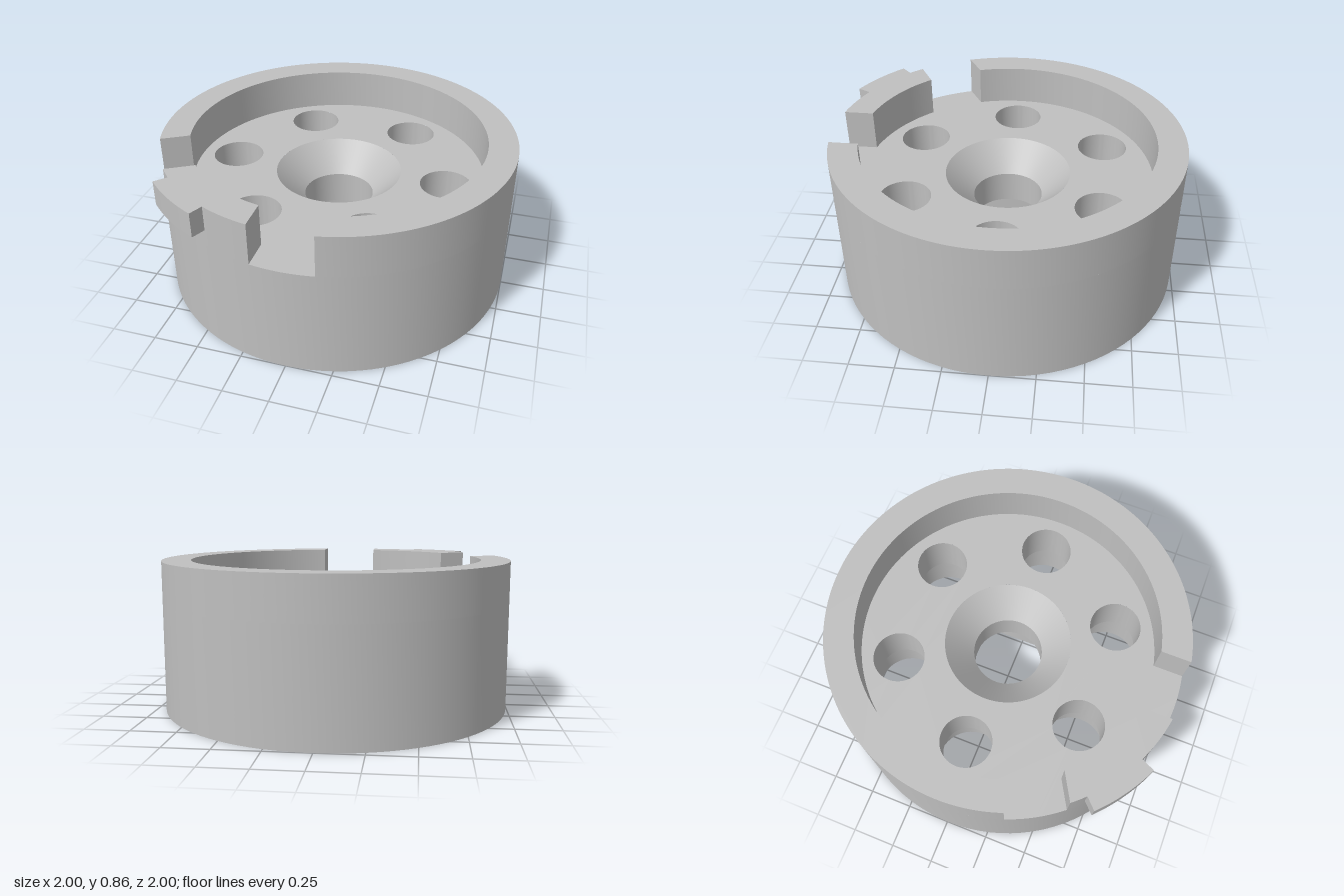
import * as THREE from 'three';
import { toCreasedNormals } from 'three/addons/utils/BufferGeometryUtils.js';

const FLOOR = 0.62, TOP = 0.855, TAB_BASE = 0.715, POCKET = 0.27;
const R = 1, RIM_IN = 0.835, RING = 0.625, SLOT = 0.168;
const SEG = 96;
const rad = THREE.MathUtils.degToRad;

export function createModel() {
  const group = new THREE.Group();
  const grey = new THREE.MeshStandardMaterial({ color: 0xbfbfbf });
  grey.name = 'grey';

  const add = (name, geo, y = 0) => {
    const mesh = new THREE.Mesh(toCreasedNormals(geo, 0.5), grey);
    mesh.name = name;
    mesh.position.y = y;
    group.add(mesh);
    return mesh;
  };
  const circle = (Type, x, y, r) => new Type().absarc(x, y, r, 0, Math.PI * 2, false);
  const lathe = (pts, seg = SEG) =>
    new THREE.LatheGeometry(pts.map(p => new THREE.Vector2(...p)), seg);
  const flat = (shape, up) =>
    new THREE.ShapeGeometry(shape, SEG).rotateX(up ? -Math.PI / 2 : Math.PI / 2);
  const extrude = (shape, depth) =>
    new THREE.ExtrudeGeometry(shape, { depth, bevelEnabled: false, curveSegments: SEG })
      .rotateX(-Math.PI / 2);

  // Disc pierced by the six ports and a central opening
  const ports = Array.from({ length: 6 }, (_, i) => rad(60 * i))
    .map(a => [RING * Math.cos(a), RING * Math.sin(a)]);
  const piercedDisc = (portR, centreR) => {
    const s = circle(THREE.Shape, 0, 0, R);
    s.holes.push(circle(THREE.Path, 0, 0, centreR));
    ports.forEach(([x, y]) => s.holes.push(circle(THREE.Path, x, y, portR)));
    return s;
  };

  // Body
  add('bodyWall', lathe([[R, 0], [R, FLOOR]]));
  add('bodyFloor', flat(piercedDisc(0.145, 0.36), true), FLOOR);
  add('bodyUnderside', flat(piercedDisc(0.24, 0.36), false));

  // Stepped ports, chamfered underneath
  const portGeo = lathe([[0.145, FLOOR], [0.145, 0.35], [0.2, 0.35], [0.2, 0.04], [0.24, 0]], SEG);
  ports.forEach(([x, z]) => add('port', portGeo).position.set(x, 0, z));

  // Countersunk centre bore
  add('centreBore', lathe([[0.36, FLOOR], [0.2, 0.46], [0.2, POCKET]]));

  // Two-flat pocket underneath
  const a = Math.acos(0.265 / 0.325);
  const pocketOutline = Type => new Type()
    .absarc(0, 0, 0.325, a, Math.PI - a, false)
    .absarc(0, 0, 0.325, Math.PI + a, 2 * Math.PI - a, false)
    .closePath();
  const collar = circle(THREE.Shape, 0, 0, 0.36);
  collar.holes.push(pocketOutline(THREE.Path));
  add('pocketWall', extrude(collar, POCKET));
  const ceiling = pocketOutline(THREE.Shape);
  ceiling.holes.push(circle(THREE.Path, 0, 0, 0.2));
  add('pocketCeiling', flat(ceiling, false), POCKET);

  // Ring sector; angles run from the front towards +x, trimmed by half a slot at each end
  const sector = (from, to, r0, r1, half = 0) => {
    const t0 = rad(from - 90), t1 = rad(to - 90);
    const o0 = Math.asin(half / r0), o1 = Math.asin(half / r1);
    return new THREE.Shape()
      .absarc(0, 0, r1, t0 + o1, t1 - o1, false)
      .absarc(0, 0, r0, t1 - o0, t0 + o0, true)
      .closePath();
  };

  // Rim broken by two parallel-sided slots, with a locking tab on the short piece
  add('longRim', extrude(sector(0, 300, RIM_IN, R, SLOT), TOP - FLOOR), FLOOR);
  add('shortRim', extrude(sector(-60, 0, RIM_IN, R, SLOT), TOP - FLOOR), FLOOR);
  add('lockingTab', extrude(sector(-45, -25.2, 0.99, 1.08), TOP - TAB_BASE), TAB_BASE);

  return group;
}
